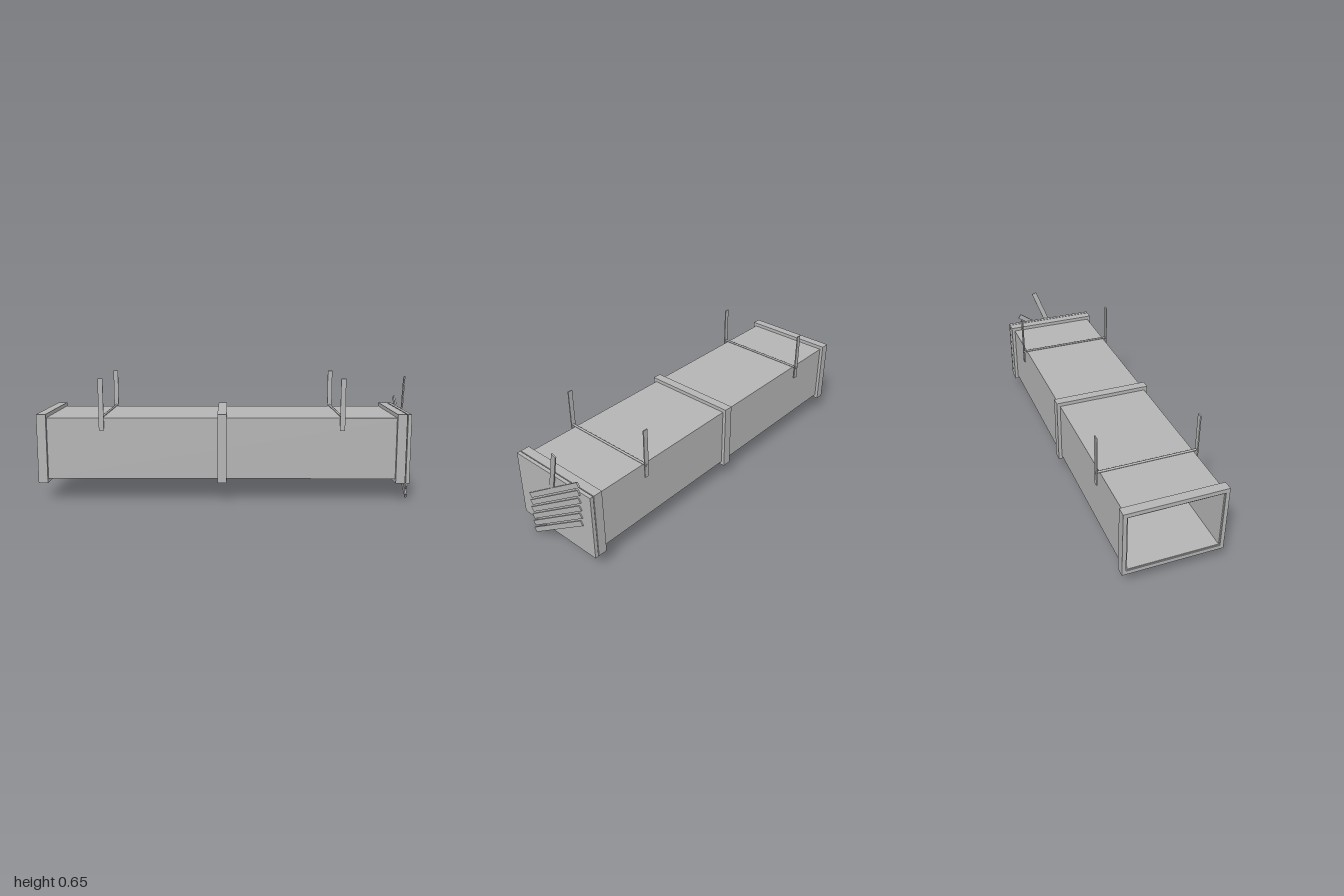
import * as THREE from 'three';

export function createModel() {
  const model = new THREE.Group();
  const metal = new THREE.MeshStandardMaterial({ color: 0xb4b4b4 });
  metal.name = 'galvanised grey';

  const add = (name, geometry, x, y, z) => {
    const mesh = new THREE.Mesh(geometry, metal);
    mesh.name = name;
    mesh.position.set(x, y, z);
    model.add(mesh);
    return mesh;
  };
  const box = (name, w, h, d, x, y, z) => add(name, new THREE.BoxGeometry(w, h, d), x, y, z);

  // Rectangular sleeve running along x, open at both ends
  const midY = 0.283;
  const sleeve = (name, x0, x1, height, depth, innerHeight, innerDepth) => {
    const rect = (Path, w, h) => new Path([
      new THREE.Vector2(-w / 2, -h / 2), new THREE.Vector2(w / 2, -h / 2),
      new THREE.Vector2(w / 2, h / 2), new THREE.Vector2(-w / 2, h / 2),
    ]);
    const shape = rect(THREE.Shape, depth, height);
    shape.holes.push(rect(THREE.Path, innerDepth, innerHeight));
    const geometry = new THREE.ExtrudeGeometry(shape, { depth: x1 - x0, bevelEnabled: false });
    geometry.rotateY(Math.PI / 2);
    add(name, geometry, x0, midY, 0);
  };

  // Duct with its three joint flanges
  const H = 0.326, D = 0.488, wall = 0.016;
  sleeve('duct', -0.995, 0.938, H, D, H - wall, D - wall);
  for (const [name, x] of [['endFlange', -1], ['middleFlange', -0.054], ['damperFlange', 0.888]]) {
    sleeve(name, x, x + 0.049, 0.366, 0.524, H - 0.004, D - 0.004);
  }

  // Plate closing the damper end
  box('endPlate', 0.019, 0.366, 0.524, 0.9505, midY, 0);

  // Hanger straps joined by a rod across the top
  for (const x of [-0.66, 0.6]) {
    for (const side of [-1, 1]) box('hangerStrap', 0.026, 0.272, 0.006, x, 0.517, side * 0.263);
    const rod = add('hangerRod', new THREE.CylinderGeometry(0.006, 0.006, 0.536, 8), x, 0.45, 0);
    rod.rotation.x = Math.PI / 2;
  }

  // Slanted louver blades
  for (let i = 0; i < 6; i++) {
    const blade = box('louverBlade', 0.009, 0.0275, 0.466, 0.961, 0.148 + i * 0.0453, 0.001);
    blade.rotation.x = THREE.MathUtils.degToRad(34.8);
  }

  // Damper lever leaning back and outward
  const foot = new THREE.Vector3(0.957, 0.365, 0.021);
  const tip = new THREE.Vector3(0.993, 0.635, -0.0785);
  const along = tip.clone().sub(foot);
  const length = along.length();
  along.normalize();
  const across = new THREE.Vector3(0, along.z, -along.y).normalize().negate();
  const out = new THREE.Vector3().crossVectors(along, across);
  const lever = box('damperLever', 0.006, length, 0.029, 0, 0, 0);
  lever.quaternion.setFromRotationMatrix(new THREE.Matrix4().makeBasis(out, along, across));
  lever.position.copy(foot).add(tip).multiplyScalar(0.5);

  return model;
}
